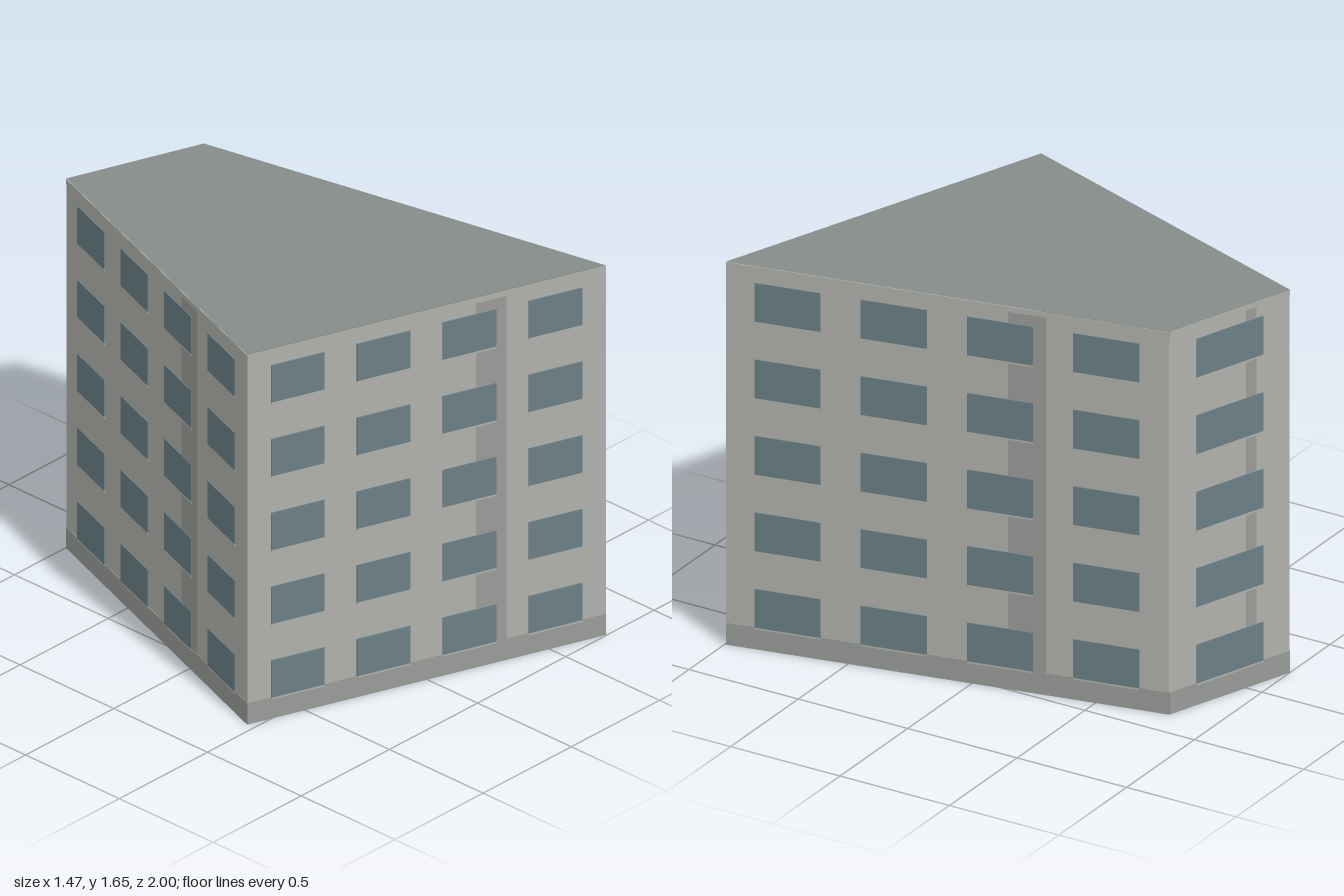
import * as THREE from 'three';

const HEIGHT = 1.65, BASE = 0.095, CORNICE = 0.022;
const FLOORS = 5, FLOOR_HEIGHT = 0.33;

const mat = (color, side = THREE.FrontSide) =>
  new THREE.MeshStandardMaterial({ color, side });

const wallMat = mat(0xb0b1ab, THREE.DoubleSide);
const roofMat = mat(0x858c88, THREE.DoubleSide);
const trimMat = mat(0xb0b1ab);
const baseMat = mat(0x989b97);
const stripMat = mat(0x9a9c99);
const glassMat = mat(0x6a7f86);

// Plan corners, ordered so each wall runs left to right seen from outside
const corners = [[-0.733, 0.463], [0.732, 0.995], [0.358, -0.797], [-0.207, -0.998]];
const walls = [
  { name: 'frontWall', centres: [0.139, 0.379, 0.619, 0.859], width: 0.149 },
  { name: 'rightWall', centres: [0.139, 0.379, 0.619, 0.859], width: 0.149 },
  { name: 'backWall', centres: [0.5], width: 0.55 },
  { name: 'leftWall', centres: [0.139, 0.379, 0.619, 0.859], width: 0.149 },
];

// Thin slab lying on a wall, standing out from it by depth
function slab(name, material, x0, x1, y0, y1, depth) {
  const back = 0.0005;
  const mesh = new THREE.Mesh(new THREE.BoxGeometry(x1 - x0, y1 - y0, depth - back), material);
  mesh.position.set((x0 + x1) / 2, (y0 + y1) / 2, (depth + back) / 2);
  mesh.name = name;
  return mesh;
}

function buildWall({ name, centres, width }, [ax, az], [bx, bz]) {
  const length = Math.hypot(bx - ax, bz - az);
  const group = new THREE.Group();
  group.name = name;
  group.position.set(ax, 0, az);
  group.rotation.y = Math.atan2(az - bz, bx - ax);

  // Plain wall sheet, open to the inside
  const sheet = new THREE.Mesh(new THREE.PlaneGeometry(length, HEIGHT), wallMat);
  sheet.position.set(length / 2, HEIGHT / 2, 0);
  sheet.name = 'wallSheet';
  group.add(sheet);

  // Plinth, cornice and vertical strip
  group.add(
    slab('plinth', baseMat, 0, length, 0, BASE, 0.003),
    slab('cornice', trimMat, 0, length, HEIGHT - CORNICE, HEIGHT, 0.003),
    slab('verticalStrip', stripMat, 0.637 * length, 0.722 * length, BASE, HEIGHT - CORNICE, 0.002),
  );

  // Windows with slim sills on every floor
  for (let floor = 0; floor < FLOORS; floor++) {
    const y = 0.094 + floor * FLOOR_HEIGHT;
    for (const u of centres) {
      const x0 = (u - width / 2) * length, x1 = (u + width / 2) * length;
      group.add(
        slab('window', glassMat, x0, x1, y, y + 0.166, 0.005),
        slab('sill', trimMat, x0, x1, y - 0.008, y, 0.005),
      );
    }
  }
  return group;
}

export function createModel() {
  const building = new THREE.Group();
  building.name = 'apartmentBlock';
  walls.forEach((wall, i) => building.add(buildWall(wall, corners[i], corners[(i + 1) % 4])));

  // Flat roof closing the top; the underside stays open
  const outline = new THREE.Shape(corners.map(([x, z]) => new THREE.Vector2(x, -z)));
  const roof = new THREE.Mesh(new THREE.ShapeGeometry(outline).rotateX(-Math.PI / 2), roofMat);
  roof.position.y = HEIGHT + 0.002;
  roof.name = 'roof';
  building.add(roof);
  return building;
}
